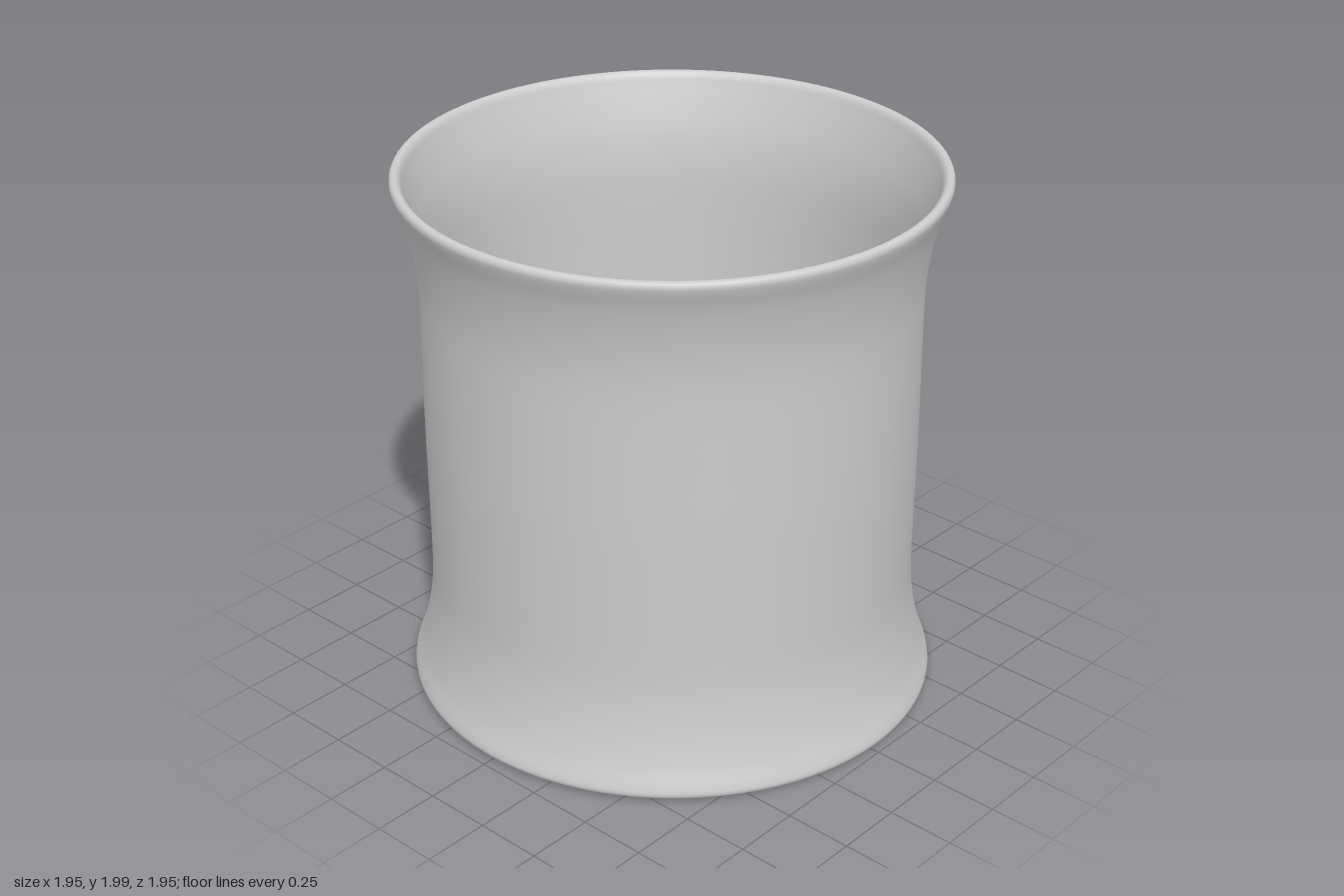
import * as THREE from 'three';

export function createModel() {
  const group = new THREE.Group();
  const middle = 1.006;

  // Upper half of the wall section: radius and height above the middle,
  // from the outer wall over the rounded lip to the inner wall
  const half = [
    [0.893, 0.3], [0.893, 0.55], [0.9, 0.66], [0.919, 0.78], [0.945, 0.88],
    [0.971, 0.95], [0.975, 0.972], [0.968, 0.986], [0.952, 0.989], [0.938, 0.978],
    [0.924, 0.94], [0.9, 0.865], [0.874, 0.77], [0.857, 0.66], [0.851, 0.55], [0.85, 0.3],
  ];
  const lower = half.map(([r, h]) => [r, -h]).reverse();

  // Closed loop starting at the middle of the inner wall
  const loop = [[0.85, 0], ...lower, [0.895, 0], ...half];
  const curve = new THREE.CatmullRomCurve3(
    loop.map(([r, h]) => new THREE.Vector3(r, middle + h, 0)), true, 'centripetal');
  const profile = curve.getPoints(loop.length * 4).map((p) => new THREE.Vector2(p.x, p.y));
  const geometry = new THREE.LatheGeometry(profile, 128);

  // Slight sag of the bottom edge towards the back left
  const pos = geometry.attributes.position;
  for (let i = 0; i < pos.count; i++) {
    const x = pos.getX(i), y = pos.getY(i), z = pos.getZ(i);
    const toward = Math.max(0, Math.cos(Math.atan2(z, x) + 0.6));
    const low = Math.max(0, 1 - y / 0.5);
    pos.setY(i, y - 0.016 * toward * toward * low);
  }

  const ring = new THREE.Mesh(geometry, new THREE.MeshStandardMaterial({ color: 0xcccccc }));
  ring.name = 'flaredRing';
  group.add(ring);
  return group;
}
